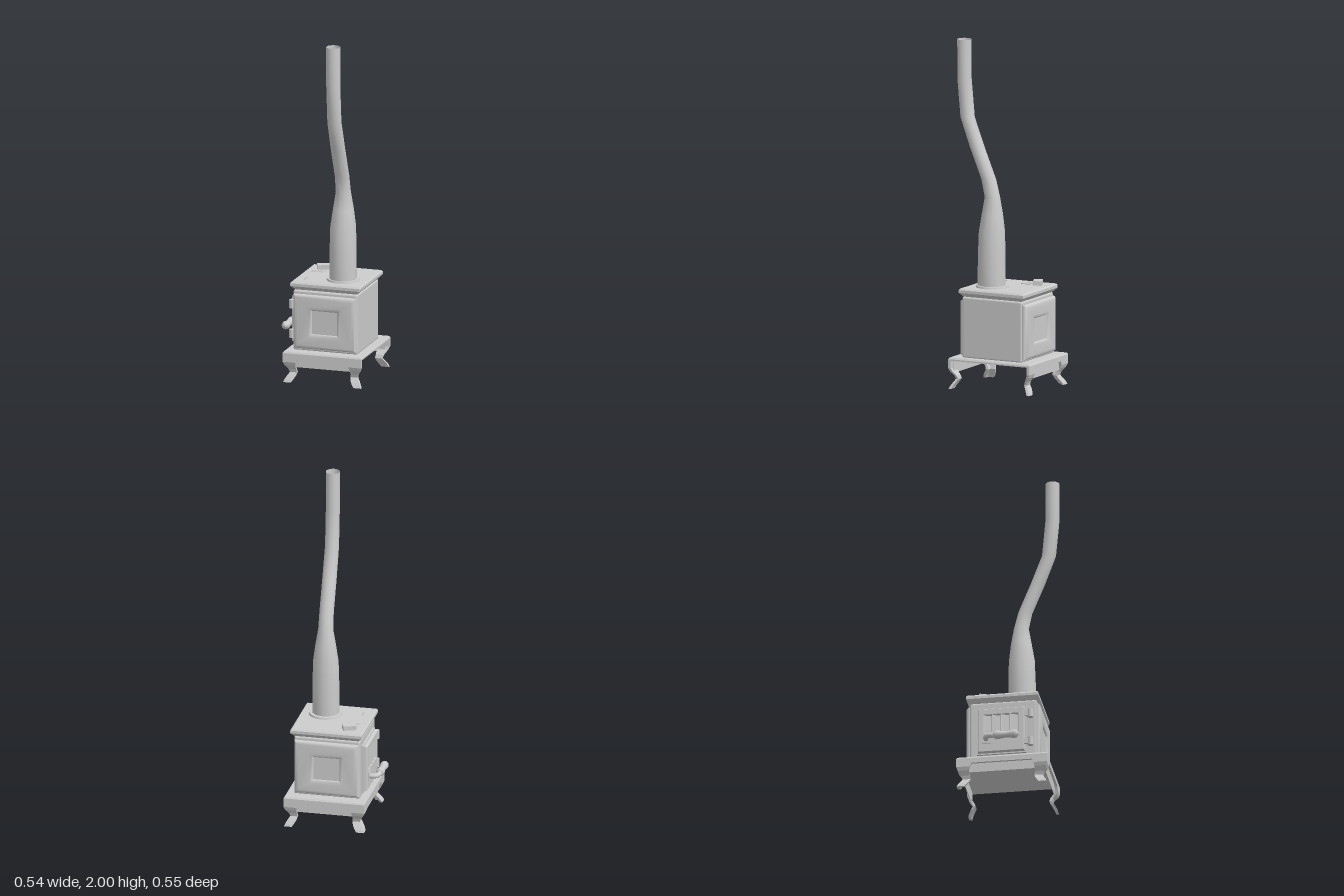
import * as THREE from 'three';
import { toCreasedNormals } from 'three/addons/utils/BufferGeometryUtils.js';
import { RoundedBoxGeometry } from 'three/addons/geometries/RoundedBoxGeometry.js';

const iron = new THREE.MeshStandardMaterial({ color: 0xcccccc, side: THREE.DoubleSide });
iron.name = 'grey iron';

// Rectangular rings [y, x0, x1, z0, z1] joined from bottom to top, with caps
function loft(levels) {
  const rings = levels.map(([y, xa, xb, za, zb]) => {
    const x0 = Math.min(xa, xb), x1 = Math.max(xa, xb), z0 = Math.min(za, zb), z1 = Math.max(za, zb);
    return [[x0, y, z1], [x1, y, z1], [x1, y, z0], [x0, y, z0]];
  });
  const pos = [];
  const quad = (a, b, c, d) => pos.push(...a, ...b, ...c, ...a, ...c, ...d);
  for (let k = 0; k + 1 < rings.length; k++) {
    for (let i = 0; i < 4; i++) {
      const j = (i + 1) % 4;
      quad(rings[k][i], rings[k][j], rings[k + 1][j], rings[k + 1][i]);
    }
  }
  const bottom = rings[0];
  quad(bottom[3], bottom[2], bottom[1], bottom[0]);
  quad(...rings[rings.length - 1]);
  const g = new THREE.BufferGeometry();
  g.setAttribute('position', new THREE.Float32BufferAttribute(pos, 3));
  g.computeVertexNormals();
  return g;
}

function rect(Type, cx, cy, w, h) {
  const s = new Type();
  s.moveTo(cx - w / 2, cy - h / 2);
  s.lineTo(cx + w / 2, cy - h / 2);
  s.lineTo(cx + w / 2, cy + h / 2);
  s.lineTo(cx - w / 2, cy + h / 2);
  s.closePath();
  return s;
}

// Raised panel with rounded rim and openings given as [cx, cy, w, h]
function panel(w, h, holes, height, bevel) {
  const s = rect(THREE.Shape, 0, 0, w, h);
  for (const o of holes) s.holes.push(rect(THREE.Path, ...o));
  return toCreasedNormals(new THREE.ExtrudeGeometry(s, {
    depth: 0.002, bevelThickness: height, bevelSize: bevel, bevelOffset: -bevel, bevelSegments: 4,
  }), 0.7);
}

export function createModel() {
  const root = new THREE.Group();
  root.name = 'stove';
  const add = (name, geo, x = 0, y = 0, z = 0, parent = root) => {
    const m = new THREE.Mesh(geo, iron);
    m.name = name;
    m.position.set(x, y, z);
    parent.add(m);
    return m;
  };
  const box = (w, h, d) => new THREE.BoxGeometry(w, h, d);

  // Base: shelf, with aprons and inner skirts on three sides (the left side is open)
  const [L, R, B, F] = [-0.205, 0.267, -0.275, 0.248];
  add('baseShelf', loft([[0.164, L, R, B, F], [0.172, L, R, B, F],
    [0.181, L + 0.006, R - 0.006, B + 0.006, F - 0.006]]));
  const midX = (L + R) / 2, midZ = (B + F) / 2;
  for (const [name, z, s] of [['front', F, 1], ['back', B, -1]]) {
    add(name + 'Apron', box(R - L, 0.03, 0.014), midX, 0.157, z - s * 0.007);
    add(name + 'Skirt', box(R - L - 0.05, 0.075, 0.004), midX, 0.1275, z - s * 0.02);
  }
  add('rightApron', box(0.014, 0.03, F - B), L + 0.007, 0.157, midZ);
  add('rightSkirt', box(0.004, 0.075, F - B - 0.05), L + 0.02, 0.1275, midZ);

  // Leg outline: height, inset of the outer edge, reach of the inner edge
  const legProfile = [[0, 0.002, 0.048], [0.015, 0.008, 0.058], [0.035, 0.02, 0.07],
    [0.055, 0.033, 0.076], [0.075, 0.026, 0.073], [0.1, 0.008, 0.073], [0.12, 0, 0.078],
    [0.14, 0, 0.086], [0.165, 0, 0.1]];
  const T = 0.016;
  for (const sx of [-1, 1]) {
    for (const sz of [-1, 1]) {
      const X = sx > 0 ? R : L, Z = sz > 0 ? F : B;
      const leg = new THREE.Group();
      leg.name = (sz > 0 ? 'front' : 'back') + (sx > 0 ? 'Left' : 'Right') + 'Leg';
      root.add(leg);
      add('legFace', loft(legProfile.map(([y, d, w]) =>
        [y, X - sx * d, X - sx * w, Z - sz * d, Z - sz * (d + T)])), 0, 0, 0, leg);
      if (sx < 0) {
        add('legSide', loft(legProfile.map(([y, d, w]) =>
          [y, X - sx * d, X - sx * (d + T), Z - sz * d, Z - sz * w])), 0, 0, 0, leg);
      }
    }
  }

  // Firebox
  add('body', new RoundedBoxGeometry(0.386, 0.355, 0.387, 2, 0.012), 0.029, 0.355, -0.0105);
  add('neck', box(0.36, 0.03, 0.36), 0.029, 0.53, -0.013);

  // Front and back framed windows
  for (const side of [1, -1]) {
    const g = new THREE.Group();
    g.name = side > 0 ? 'frontPanel' : 'backPanel';
    g.position.set(0.029, 0.352, side > 0 ? 0.181 : -0.205);
    if (side < 0) g.rotation.y = Math.PI;
    root.add(g);
    add('panelFrame', panel(0.375, 0.32, [[0, 0, 0.145, 0.13]], 0.021, 0.026), 0, 0, 0, g);
    add('windowPane', box(0.165, 0.15, 0.006), 0, 0, 0.009, g);
  }

  // Top plate with sloping underside
  const plate = (y, i) => [y, -0.178 + i, 0.24 - i, -0.223 + i, 0.194 - i];
  add('topPlate', loft([plate(0.533, 0.022), plate(0.556, 0), plate(0.572, 0), plate(0.581, 0.008)]));

  // Bent stovepipe: [height, radius, z of the centre]
  const pipe = [[0.575, 0.08, 0.058], [0.75, 0.079, 0.058], [0.9, 0.075, 0.056], [1.0, 0.061, 0.053],
    [1.1, 0.044, 0.053], [1.2, 0.042, 0.076], [1.38, 0.042, 0.15], [1.55, 0.041, 0.213],
    [1.77, 0.041, 0.233], [2.0, 0.041, 0.234]];
  const pg = new THREE.LatheGeometry(pipe.map(([y, r]) => new THREE.Vector2(r, y)), 12);
  const pp = pg.attributes.position;
  for (let i = 0; i < pp.count; i++) pp.setZ(i, pp.getZ(i) + pipe[i % pipe.length][2]);
  add('stovepipe', toCreasedNormals(pg, 1.2), 0.095, 0, 0);
  add('pipeCollar', new THREE.CylinderGeometry(0.093, 0.096, 0.012, 32), 0.095, 0.586, 0.052);

  // Side door with barred window, facing -x
  const door = new THREE.Group();
  door.name = 'door';
  door.position.set(-0.164, 0.345, -0.018);
  door.rotation.y = -Math.PI / 2;
  root.add(door);
  const panes = [-1.5, -0.5, 0.5, 1.5].map((k) => [k * 0.051, 0.038, 0.037, 0.11]);
  add('doorBacking', box(0.285, 0.29, 0.016), 0, 0, 0.004, door);
  add('doorFrame', panel(0.27, 0.275, panes, 0.026, 0.006), 0, 0, 0.002, door);
  for (const [x, y, w, h] of panes) {
    add('slantedPane', box(w + 0.008, h + 0.008, 0.004), x, y, 0.017, door).rotation.y = 0.3;
  }
  for (const y of [0.44, 0.265]) {
    add('hinge', new THREE.CylinderGeometry(0.016, 0.016, 0.05, 10), -0.181, y, 0.15);
    add('hingeStrap', box(0.02, 0.03, 0.05), -0.178, y, 0.125);
  }

  // Door handle: bent rod and turned grip
  const hy = 0.287;
  const rod = new THREE.CatmullRomCurve3([[-0.18, -0.103], [-0.215, -0.103], [-0.237, -0.093],
    [-0.245, -0.073], [-0.245, -0.045]].map(([x, z]) => new THREE.Vector3(x, hy, z)));
  add('handleRod', new THREE.TubeGeometry(rod, 16, 0.015, 10));
  add('handlePlate', box(0.012, 0.055, 0.05), -0.194, hy, -0.103);
  const grip = new THREE.LatheGeometry([[0, -0.052], [0.02, -0.052], [0.02, -0.047], [0.025, -0.036],
    [0.022, -0.01], [0.018, 0.018], [0.021, 0.045], [0.025, 0.065], [0.022, 0.08], [0.01, 0.087],
    [0.009, 0.093], [0, 0.093]].map(([r, y]) => new THREE.Vector2(r, y)), 14);
  grip.rotateX(Math.PI / 2);
  add('handleGrip', grip, -0.245, hy, 0);

  // Small matchbox and loose sticks on the top plate
  add('matchbox', box(0.077, 0.026, 0.051), -0.088, 0.594, -0.143).rotation.y = 0.38;
  const sticks = [[-0.131, -0.062, -0.083, -0.107], [-0.134, -0.054, -0.076, -0.08],
    [-0.061, -0.107, -0.07, -0.045], [-0.115, 0.07, -0.117, 0.09],
    [-0.117, 0.09, -0.108, 0.1], [-0.108, 0.1, -0.117, 0.117]];
  for (const [x0, z0, x1, z1] of sticks) {
    const s = add('matchstick', box(Math.hypot(x1 - x0, z1 - z0), 0.004, 0.004),
      (x0 + x1) / 2, 0.583, (z0 + z1) / 2);
    s.rotation.y = -Math.atan2(z1 - z0, x1 - x0);
  }
  return root;
}
